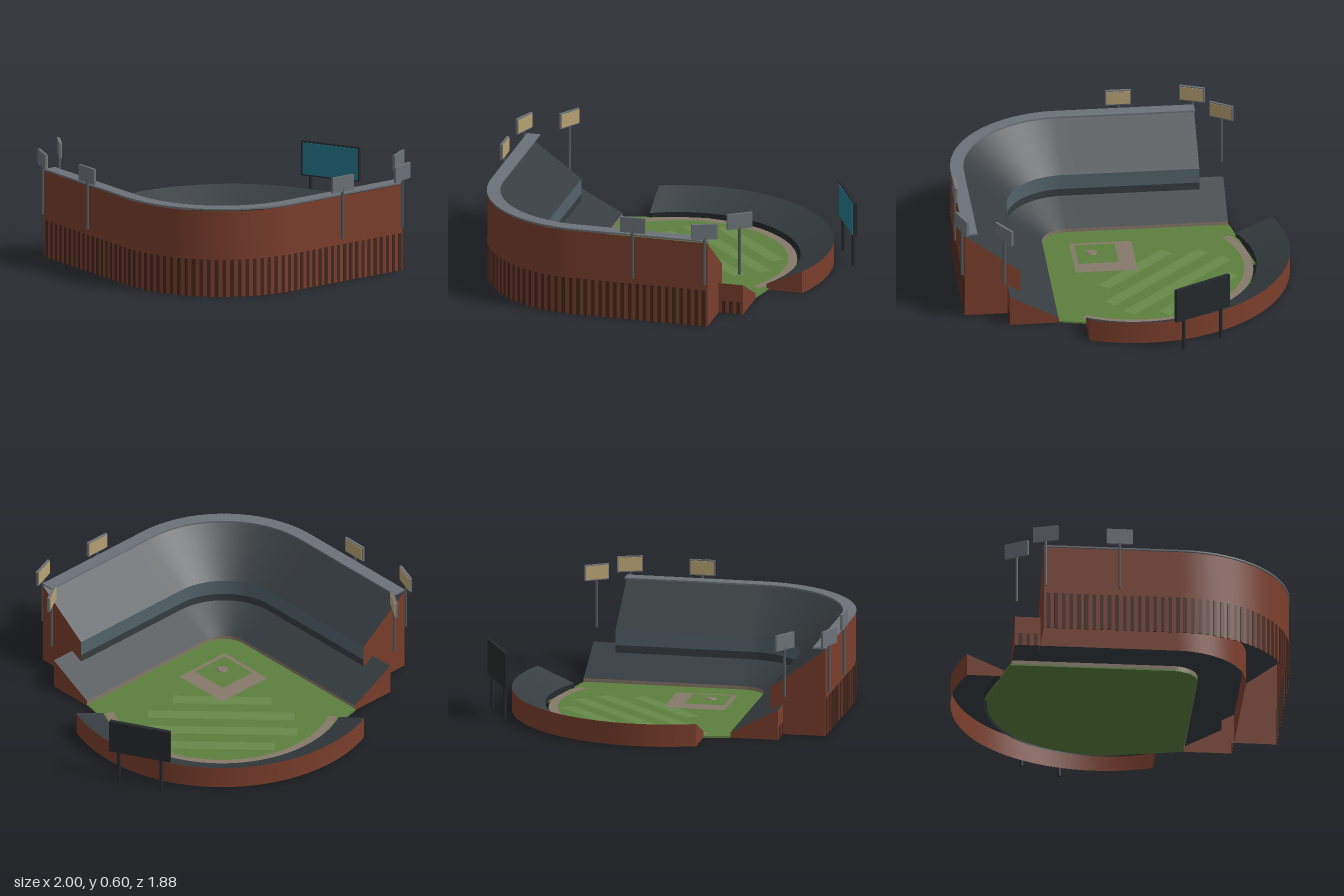
import * as THREE from 'three';

const BRICK = 0x7a3e2c, ARCH = 0x43261d, SEAT = 0x363c40, GRASS = 0x5d7f3e, LIGHT_GRASS = 0x67894a;
const DIRT = 0x86796a, STEEL = 0x6c7278, DARK = 0x25292d, GLASS = 0x53636a;
const rad = THREE.MathUtils.degToRad;
const mat = (color) => new THREE.MeshStandardMaterial({ color, side: THREE.DoubleSide });

function add(parent, name, geometry, color, x = 0, y = 0, z = 0) {
  const mesh = new THREE.Mesh(geometry, mat(color));
  mesh.name = name;
  mesh.position.set(x, y, z);
  parent.add(mesh);
  return mesh;
}

// L-shaped stand: straight, rounded corner, straight. Gives [x, z] at t and distance r.
const CX = -0.25, CZ = 0.255;
const standPath = (ext) => (t, r) => {
  if (t < 0.2) return [CX + ext * (1 - t / 0.2), CZ + r];
  if (t > 0.8) return [CX - r, CZ - ext * (t - 0.8) / 0.2];
  const a = (t - 0.2) / 0.6 * Math.PI / 2;
  return [CX - r * Math.sin(a), CZ + r * Math.cos(a)];
};

// Curved outfield stand whose ends are cut square to the field.
const OC = 0.07;
const outfieldPath = (t, r) => {
  const half = Math.acos(-0.32 / r) - Math.PI / 4;
  const a = Math.PI / 4 + half * (2 * t - 1);
  return [OC + r * Math.cos(a), -OC - r * Math.sin(a)];
};

// Sweep a section of [r, y] points along a path
function sweep(parent, name, path, section, color, steps = 40) {
  const pos = [], index = [];
  for (let s = 0; s < section.length - 1; s++) {
    const base = pos.length / 3;
    for (let i = 0; i <= steps; i++) {
      for (const [r, y] of [section[s], section[s + 1]]) {
        const [x, z] = path(i / steps, r);
        pos.push(x, y, z);
      }
      if (i < steps) {
        const a = base + i * 2;
        index.push(a, a + 2, a + 1, a + 1, a + 2, a + 3);
      }
    }
  }
  const g = new THREE.BufferGeometry();
  g.setAttribute('position', new THREE.Float32BufferAttribute(pos, 3));
  g.setIndex(index);
  g.computeVertexNormals();
  return add(parent, name, g, color);
}

// Close both ends of a sweep with a wall of the given outline
function endWalls(parent, name, path, outline, color) {
  for (const t of [0, 1]) {
    const g = new THREE.ShapeGeometry(new THREE.Shape(outline.map((p) => new THREE.Vector2(...p))));
    const p = g.attributes.position;
    for (let i = 0; i < p.count; i++) {
      const [x, z] = path(t, p.getX(i));
      p.setXYZ(i, x, p.getY(i), z);
    }
    g.computeVertexNormals();
    add(parent, name, g, color);
  }
}

// Flat ground marking; shape y runs towards -z
function flat(parent, name, shape, y, color) {
  return add(parent, name, new THREE.ShapeGeometry(shape, 40).rotateX(-Math.PI / 2), color, 0, y, 0);
}

function rect(x0, x1, z0, z1) {
  return new THREE.Shape([[x0, -z1], [x1, -z1], [x1, -z0], [x0, -z0]].map((p) => new THREE.Vector2(...p)));
}

// Dark recess on a brick wall
function arch(parent, path, t, r, height) {
  const [x, z] = path(t, r), [x2, z2] = path(t + 0.001, r);
  const m = add(parent, 'wallArch', new THREE.BoxGeometry(0.02, height, 0.006), ARCH, x, height / 2, z);
  m.rotation.y = -Math.atan2(z2 - z, x2 - x);
}

function buildField(park) {
  const s = new THREE.Shape();
  s.moveTo(0.64, -0.395);
  s.lineTo(0.74, OC);
  s.absarc(OC, OC, 0.654, 0, Math.PI / 2, false);
  s.lineTo(OC, 0.74);
  s.lineTo(-0.395, 0.64);
  s.lineTo(-0.395, CZ * -1);
  s.absarc(CX, -CZ, 0.145, Math.PI, Math.PI * 1.5, false);
  const g = new THREE.ExtrudeGeometry(s, { depth: 0.01, bevelEnabled: false, curveSegments: 40 });
  add(park, 'grass', g.rotateX(-Math.PI / 2), GRASS);

  const track = new THREE.Shape();
  track.absarc(OC, OC, 0.652, rad(-31), rad(121), false);
  track.absarc(OC, OC, 0.605, rad(121), rad(-31), true);
  flat(park, 'warningTrack', track, 0.013, DIRT);

  // mown stripes across the outfield
  for (const [d, half] of [[0.11, 0.27], [0.26, 0.4], [0.41, 0.42], [0.56, 0.3]]) {
    const m = flat(park, 'mownStripe', rect(-half, half, -0.037, 0.037), 0.012, LIGHT_GRASS);
    m.position.x = d * Math.SQRT1_2;
    m.position.z = -d * Math.SQRT1_2;
    m.rotation.y = -Math.PI / 4;
  }
  flat(park, 'infieldDirt', rect(-0.25, 0.09, -0.09, 0.25), 0.014, DIRT);
  flat(park, 'infieldGrass', rect(-0.225, -0.005, 0.005, 0.225), 0.016, GRASS);
  add(park, 'mound', new THREE.CylinderGeometry(0.028, 0.031, 0.006, 24), DIRT, -0.13, 0.017, 0.14);
}

function buildGrandstand(park) {
  const low = standPath(0.89), high = standPath(0.752);
  // lower tier
  sweep(park, 'fieldWall', low, [[0.145, 0], [0.145, 0.03]], DIRT);
  sweep(park, 'lowerSeats', low, [[0.145, 0.03], [0.41, 0.17]], SEAT);
  sweep(park, 'lowerBackWall', low, [[0.41, 0.17], [0.41, 0]], BRICK);
  endWalls(park, 'lowerEndWall', low, [[0.145, 0], [0.41, 0], [0.41, 0.17], [0.145, 0.03]], BRICK);
  // upper tier
  sweep(park, 'tierBase', high, [[0.34, 0.13], [0.34, 0.175]], SEAT);
  sweep(park, 'boxFront', high, [[0.34, 0.175], [0.34, 0.26]], GLASS);
  sweep(park, 'upperSeats', high, [[0.34, 0.26], [0.645, 0.484]], SEAT);
  sweep(park, 'outerWall', high, [[0.645, 0.484], [0.645, 0]], BRICK);
  endWalls(park, 'upperEndWall', high, [[0.34, 0], [0.645, 0], [0.645, 0.484], [0.34, 0.26]], BRICK);
  // rim roof
  const rim = [[0.575, 0.488], [0.648, 0.488], [0.648, 0.497], [0.575, 0.497]];
  sweep(park, 'rimRoof', high, [...rim, rim[0]], STEEL);
  endWalls(park, 'rimRoofEnd', high, rim, STEEL);
  // rows of arches
  const nStraight = 18, nCorner = 24;
  for (let i = 0; i < nStraight; i++) {
    const t = 0.2 * (i + 0.5) / nStraight;
    arch(park, high, t, 0.645, 0.21);
    arch(park, high, 0.999 - t, 0.645, 0.21);
  }
  for (let i = 0; i < nCorner; i++) arch(park, high, 0.2 + 0.6 * (i + 0.5) / nCorner, 0.645, 0.21);
  for (let i = 0; i < 3; i++) {
    const t = 0.2 * (0.025 + i * 0.042) / 0.89;
    arch(park, low, t, 0.41, 0.07);
    arch(park, low, 0.999 - t, 0.41, 0.07);
  }
}

function buildOutfieldStand(park) {
  sweep(park, 'outfieldFence', outfieldPath, [[0.672, 0], [0.672, 0.035]], DARK, 48);
  sweep(park, 'outfieldSeats', outfieldPath, [[0.672, 0.035], [0.855, 0.125]], SEAT, 48);
  sweep(park, 'outfieldWall', outfieldPath, [[0.855, 0.125], [0.855, 0]], BRICK, 48);
  endWalls(park, 'outfieldEndWall', outfieldPath, [[0.672, 0], [0.855, 0], [0.855, 0.125], [0.672, 0.035]], BRICK);
}

function buildLightTower(park, x, z, angle) {
  const tower = new THREE.Group();
  tower.name = 'lightTower';
  tower.position.set(x, 0, z);
  tower.rotation.y = angle;
  add(tower, 'pole', new THREE.CylinderGeometry(0.008, 0.008, 0.28, 8), 0x555a5e, 0, 0.385, 0);
  add(tower, 'lampFrame', new THREE.BoxGeometry(0.142, 0.088, 0.014), STEEL, 0, 0.555, 0);
  add(tower, 'lampFace', new THREE.BoxGeometry(0.13, 0.076, 0.004), 0xb8a274, 0, 0.555, -0.008);
  park.add(tower);
}

function buildScoreboard(park) {
  const board = new THREE.Group();
  board.name = 'scoreboard';
  board.position.set(0.957, 0, -0.359);
  board.rotation.y = rad(-62);
  add(board, 'boardFrame', new THREE.BoxGeometry(0.35, 0.195, 0.022), DARK, 0, 0.278, 0);
  add(board, 'screen', new THREE.BoxGeometry(0.33, 0.18, 0.004), 0x26798c, 0, 0.278, 0.012);
  for (const x of [-0.122, 0.122]) {
    add(board, 'post', new THREE.CylinderGeometry(0.01, 0.01, 0.19, 8), DARK, x, 0.095, 0);
  }
  park.add(board);
}

export function createModel() {
  const model = new THREE.Group();
  model.name = 'ballpark';
  const park = new THREE.Group();
  park.name = 'park';
  park.rotation.y = rad(10);
  model.add(park);

  buildField(park);
  buildGrandstand(park);
  buildOutfieldStand(park);
  buildScoreboard(park);
  // towers mirrored about the field's diagonal
  for (const [x, z, a] of [[0.083, 0.913, 0], [0.489, 0.914, 20], [0.629, 0.695, 32]]) {
    buildLightTower(park, x, z, rad(a));
    buildLightTower(park, -z, -x, rad(-90 - a));
  }
  return model;
}
